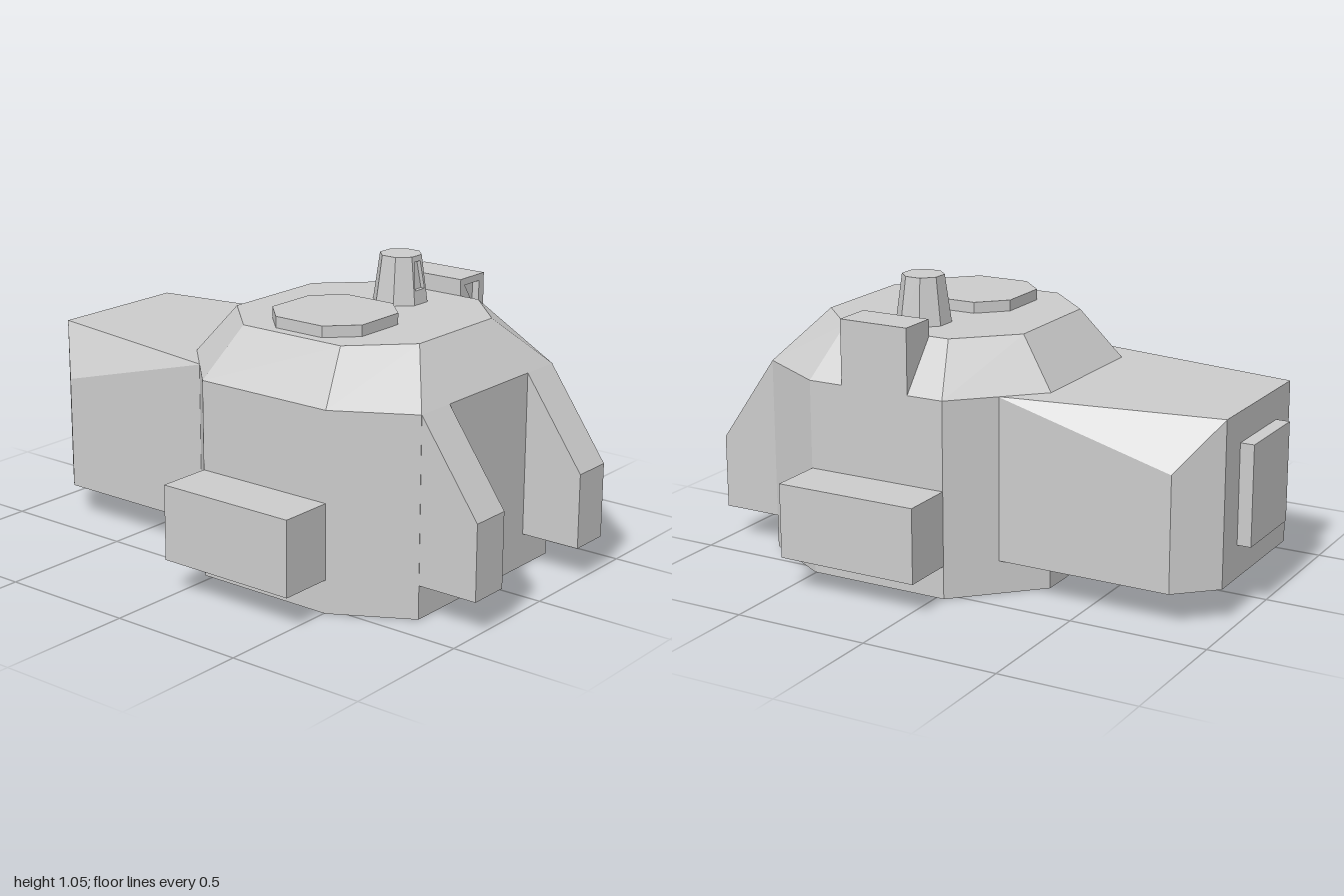
import * as THREE from 'three';

const material = new THREE.MeshStandardMaterial({ color: 0xcccccc, flatShading: true });

// Ring mirrored across z, counter-clockwise from above; half lists [x, z, y?] from +x to -x
function ring(half, y, cx = 0, cz = 0) {
  const at = (s) => ([x, z, py = y]) => new THREE.Vector3(cx + x, py, cz + s * z);
  return [...half.map(at(-1)), ...half.map(at(1)).reverse()];
}

// Eight-sided outline with apothem r and half edge length s
const octagon = (r, s) => [[r, s], [s, r], [-s, r], [-r, s]];

// Joins rings with flat faces; bottom cap and last side are optional
function loft(rings, bottom = true, lastSide = true) {
  const pos = [];
  const face = (p) => {
    for (let i = 1; i < p.length - 1; i++) {
      const t = new THREE.Triangle(p[0], p[i], p[i + 1]);
      if (t.getArea() > 1e-8) for (const v of [t.a, t.b, t.c]) pos.push(v.x, v.y, v.z);
    }
  };
  const n = rings[0].length;
  for (let k = 0; k < rings.length - 1; k++) {
    const a = rings[k], b = rings[k + 1];
    for (let i = 0; i < (lastSide ? n : n - 1); i++) {
      const j = (i + 1) % n;
      face([a[i], a[j], b[j], b[i]]);
    }
  }
  face(rings[rings.length - 1]);
  if (bottom) face([...rings[0]].reverse());
  const g = new THREE.BufferGeometry();
  g.setAttribute('position', new THREE.Float32BufferAttribute(pos, 3));
  g.computeVertexNormals();
  return g;
}

// Box given by its extents
function block(x0, x1, y0, y1, z0, z1) {
  return new THREE.BoxGeometry(x1 - x0, y1 - y0, z1 - z0)
    .translate((x0 + x1) / 2, (y0 + y1) / 2, (z0 + z1) / 2);
}

const outline = (pts) => pts.map(([x, y]) => new THREE.Vector2(x, y));

export function createModel() {
  const model = new THREE.Group();
  model.name = 'bunker';
  const add = (name, geometry) => {
    const mesh = new THREE.Mesh(geometry, material);
    mesh.name = name;
    model.add(mesh);
  };

  // Main eight-sided hull with sloped roof
  const wall = [[0.775, 0.385], [0.505, 0.54], [-0.03, 0.54], [-0.3, 0.27]];
  const roof = [[0.635, 0.21], [0.45, 0.395], [0.03, 0.395], [-0.16, 0.21]];
  add('hull', loft([ring(wall, 0), ring(wall, 0.71), ring(roof, 0.885)]));

  // Side annex with chamfered outer corners
  const plan = [[-0.165, 0.4], [-0.815, 0.4], [-0.95, 0.272]];
  const eaves = [plan[0], [-0.815, 0.4, 0.535], plan[2]];
  const annexTop = [plan[0], plan[2], plan[2]];
  add('annex', loft([ring(plan, 0.12), ring(eaves, 0.71), ring(annexTop, 0.71)]));
  add('annexPanel', block(-1, -0.95, 0.24, 0.6, -0.155, 0.155));

  // Front and back ledges, and the pair of buttresses
  const buttress = new THREE.Shape(outline([[0.775, 0.12], [1, 0.12], [1, 0.39], [0.775, 0.71]]));
  for (const [side, s] of [['front', 1], ['back', -1]]) {
    add(side + 'Ledge', block(-0.03, 0.505, 0.12, 0.39, s * 0.64 - 0.1, s * 0.64 + 0.1));
    const g = new THREE.ExtrudeGeometry(buttress, { depth: 0.153, bevelEnabled: false });
    add(side + 'Buttress', g.translate(0, 0, s * 0.3075 - 0.0765));
  }

  // Roof hatch
  const hatch = octagon(0.195, 0.1);
  add('hatch', loft([ring(hatch, 0.885, 0.24, 0.16), ring(hatch, 0.925, 0.24, 0.16)]));

  // Tapered turret with a recessed window in one facet
  const cx = 0.237, cz = -0.217, y0 = 0.885, y1 = 1.055, r0 = 0.092, r1 = 0.07;
  const tan = Math.tan(Math.PI / 8);
  add('turret', loft([
    ring(octagon(r0, r0 * tan), y0, cx, cz),
    ring(octagon(r1, r1 * tan), y1, cx, cz),
  ], true, false));
  const frame = (ya, ha, yb, hb, inset) => [[ya, ha], [ya, -ha], [yb, -hb], [yb, hb]].map(([y, z]) =>
    new THREE.Vector3(cx + r0 + (r1 - r0) * (y - y0) / (y1 - y0) - inset, y, cz + z));
  add('turretWindow', loft([
    frame(y0, r0 * tan, y1, r1 * tan, 0),
    frame(0.935, 0.027, 1.035, 0.017, 0),
    frame(0.935, 0.027, 1.035, 0.017, 0.015),
  ], false));

  // Rear housing with a triangular recess on its +x side
  add('rearHousing', block(0.107, 0.345, 0.71, 0.945, -0.54, -0.395));
  const rim = new THREE.Shape(outline([[0.395, 0.71], [0.54, 0.71], [0.54, 0.945], [0.395, 0.945]]));
  rim.holes.push(new THREE.Path(outline([[0.42, 0.92], [0.51, 0.92], [0.51, 0.79]])));
  const rimGeometry = new THREE.ExtrudeGeometry(rim, { depth: 0.028, bevelEnabled: false });
  add('rearHousingRim', rimGeometry.rotateY(Math.PI / 2).translate(0.345, 0, 0));

  return model;
}
